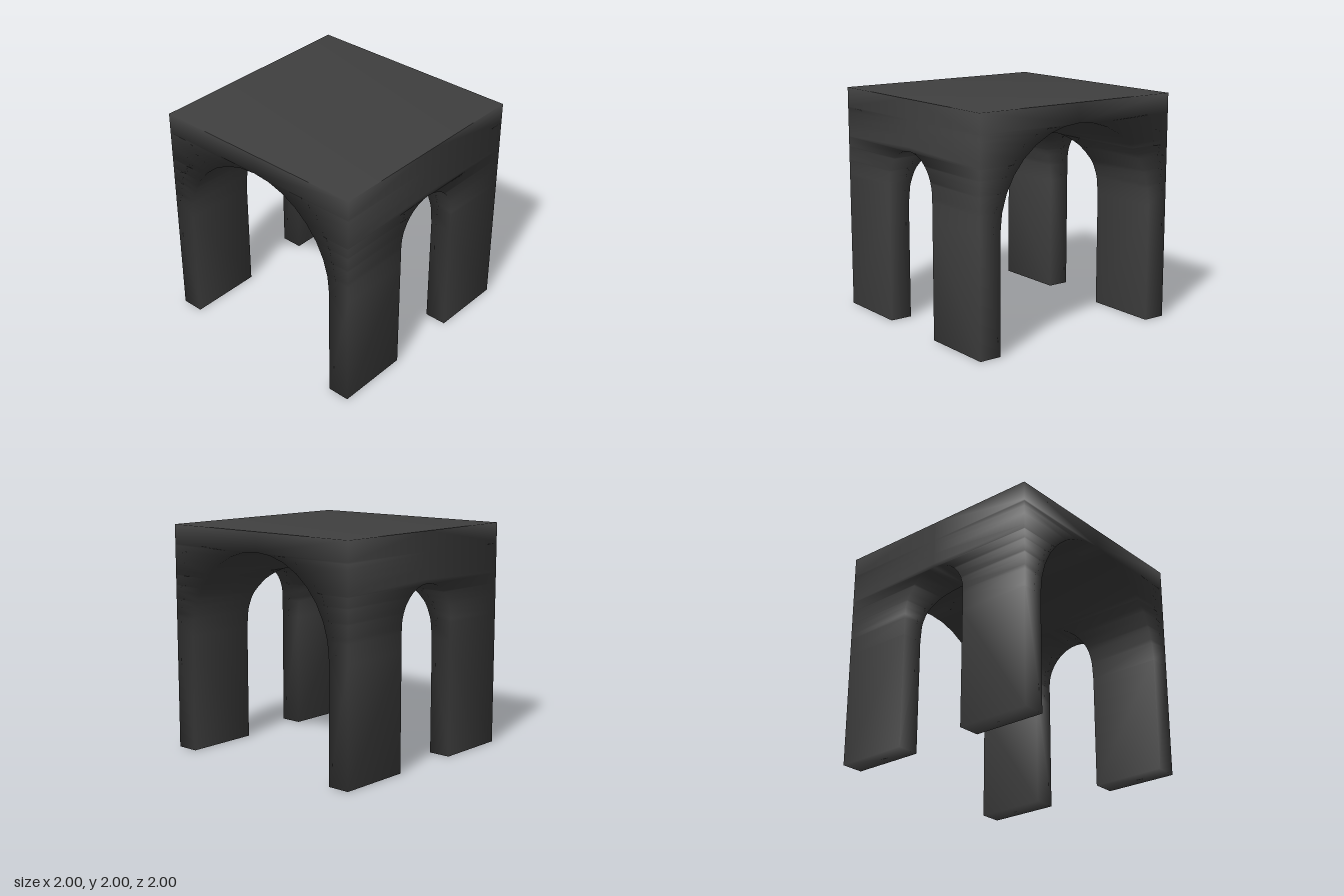
import * as THREE from 'three';
import { mergeVertices } from 'three/addons/utils/BufferGeometryUtils.js';

// Half of a round arch as [half width, height] points, from springing to crown
function halfArch(radius, spring, steps = 8) {
  return Array.from({ length: steps + 1 }, (_, i) => {
    const a = (i / steps) * Math.PI / 2;
    return [i === steps ? 0 : radius * Math.cos(a), spring + radius * Math.sin(a)];
  });
}

// Half width of the opening at height y
function openingAt(arch, y) {
  if (y <= arch[0][1]) return arch[0][0];
  for (let i = 1; i < arch.length; i++) {
    const [w0, y0] = arch[i - 1], [w1, y1] = arch[i];
    if (y <= y1) return THREE.MathUtils.lerp(w0, w1, (y - y0) / (y1 - y0));
  }
  return 0;
}

function buildPavilion() {
  const vault = halfArch(0.8, 1.03);        // wide tunnel running front to back
  const sideArch = halfArch(0.335, 1.225);  // narrow arch through both side walls
  const levels = [0, ...vault.map(p => p[1]), ...sideArch.map(p => p[1]), 2].sort((a, b) => a - b);
  const positions = [];

  // Cross-section of one corner pier at each level
  const rings = levels.map(y => {
    const x = openingAt(vault, y), z = openingAt(sideArch, y);
    return [[x, y, z], [1, y, z], [1, y, 1], [x, y, 1]];
  });

  // Mirror the corner into all four quadrants, keeping faces outward
  for (const sx of [1, -1]) for (const sz of [1, -1]) {
    const quad = (a, b, c, d) => {
      const corners = sx * sz > 0 ? [a, b, c, a, c, d] : [a, c, b, a, d, c];
      for (const [x, y, z] of corners) positions.push(x * sx, y, z * sz);
    };
    quad(...rings[0]); // foot
    for (let i = 1; i < rings.length; i++) {
      const lo = rings[i - 1], hi = rings[i];
      for (let k = 0; k < 4; k++) {
        const n = (k + 1) % 4;
        if (k === 0 && lo[0][2] === 0) continue; // above the side arch
        if (k === 3 && lo[0][0] === 0) continue; // above the vault
        quad(lo[n], lo[k], hi[k], hi[n]);
      }
    }
  }

  // Flat roof
  positions.push(-1, 2, -1, -1, 2, 1, 1, 2, 1, -1, 2, -1, 1, 2, 1, 1, 2, -1);

  const geometry = new THREE.BufferGeometry();
  geometry.setAttribute('position', new THREE.Float32BufferAttribute(positions, 3));
  const smooth = mergeVertices(geometry, 1e-4);
  smooth.computeVertexNormals();
  return smooth;
}

export function createModel() {
  const group = new THREE.Group();
  group.name = 'archedPavilion';
  const material = new THREE.MeshStandardMaterial({ color: 0x404040 });
  material.name = 'dark grey';
  const body = new THREE.Mesh(buildPavilion(), material);
  body.name = 'vaultedBody';
  group.add(body);
  return group;
}
